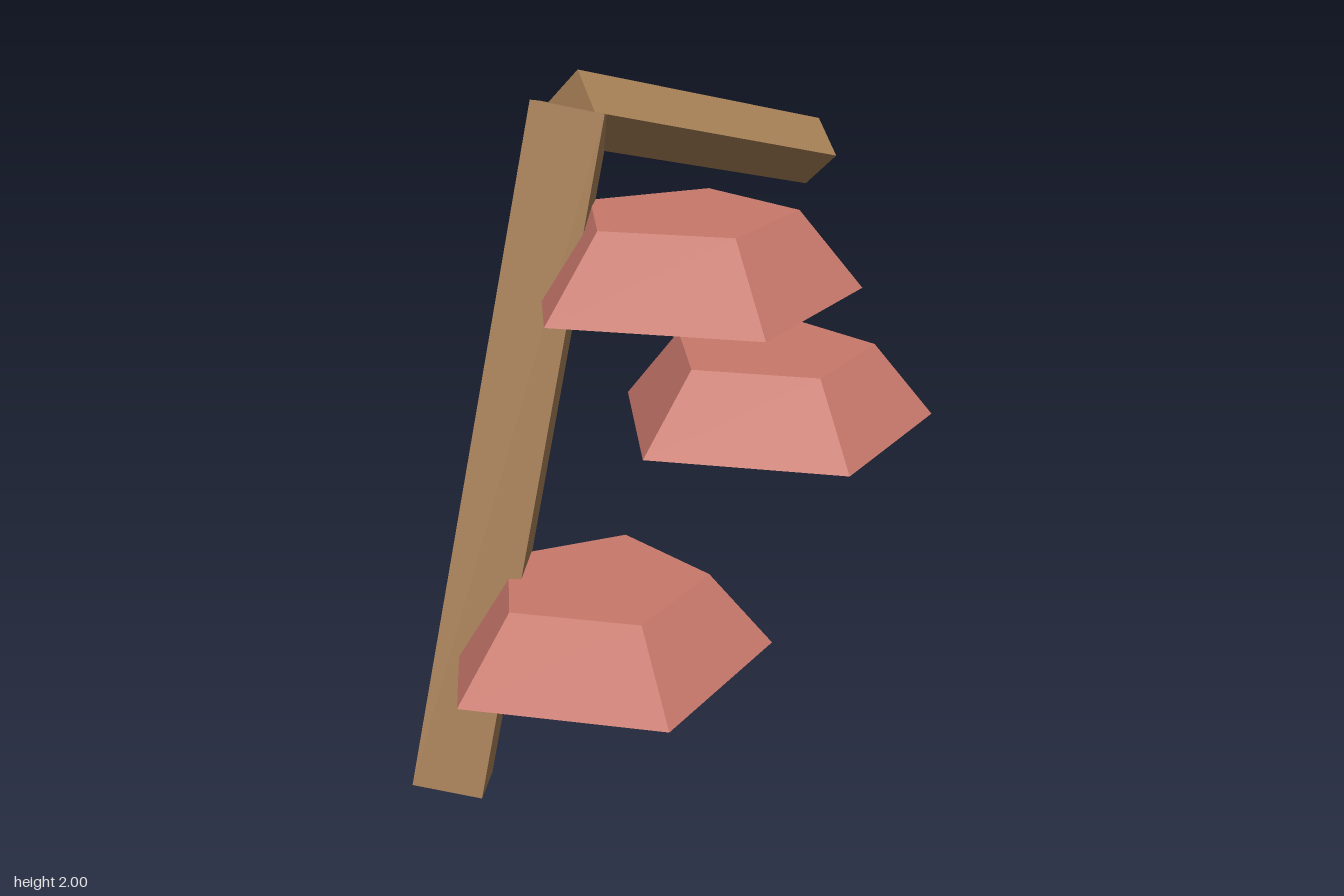
import * as THREE from 'three';

export function createModel() {
  const group = new THREE.Group();
  const bark = new THREE.MeshStandardMaterial({ color: 0xa67f56, flatShading: true });
  const leaf = new THREE.MeshStandardMaterial({ color: 0xc9786b, flatShading: true });

  // Four-sided beam running between two points, one edge facing front
  function beam(name, from, to, radius) {
    const a = new THREE.Vector3(...from);
    const b = new THREE.Vector3(...to);
    const dir = b.clone().sub(a);
    const mesh = new THREE.Mesh(new THREE.CylinderGeometry(radius, radius, dir.length(), 4), bark);
    mesh.position.copy(a).add(b).multiplyScalar(0.5);
    mesh.quaternion.setFromUnitVectors(new THREE.Vector3(0, 1, 0), dir.normalize());
    mesh.name = name;
    group.add(mesh);
  }

  // Leaning trunk and the branch drooping from its top
  beam('trunk', [-0.642, 0.037, -0.282], [-0.155, 1.902, -0.282], 0.141);
  beam('branch', [-0.155, 1.902, -0.282], [0.775, 1.662, -0.282], 0.1);

  // Five-sided foliage tiers, one corner pointing to -x
  const tierGeometry = new THREE.CylinderGeometry(0.305, 0.484, 0.221, 5, 1, false, -Math.PI / 2);
  const tiers = [
    ['lowerFoliage', -0.318, 0.556],
    ['middleFoliage', 0.328, 1.085],
    ['upperFoliage', 0.004, 1.53],
  ];
  for (const [name, x, y] of tiers) {
    const tier = new THREE.Mesh(tierGeometry, leaf);
    tier.position.set(x, y, 0);
    tier.name = name;
    group.add(tier);
  }

  return group;
}
